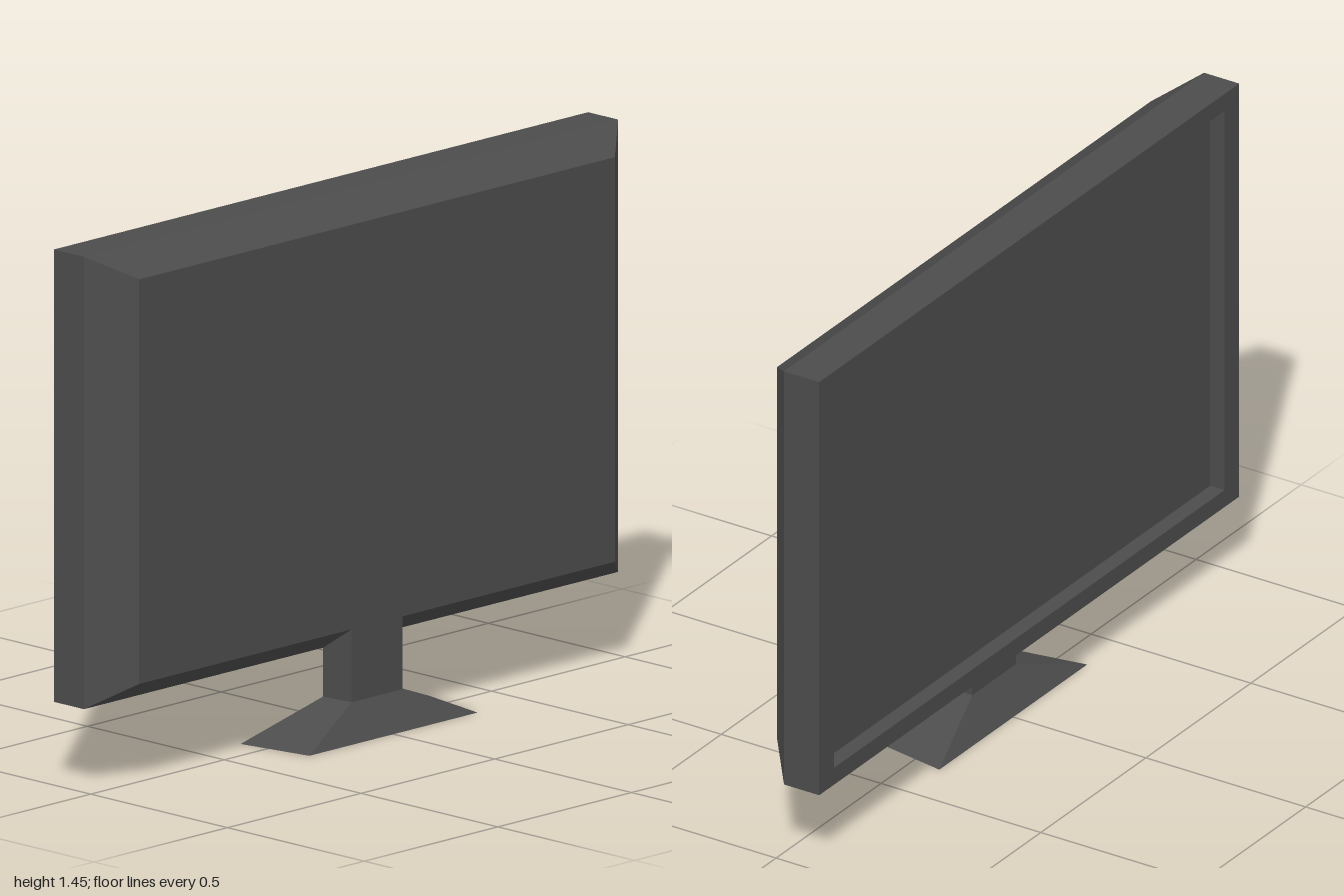
import * as THREE from 'three';

// Flat-faced skin through four-cornered rings, with optional end caps
function loft(rings, capStart = true, capEnd = true) {
  const pos = [];
  const quad = (a, b, c, d) => [a, b, c, a, c, d].forEach(p => pos.push(...p));
  for (let i = 0; i < rings.length - 1; i++) {
    const r = rings[i], s = rings[i + 1];
    for (let k = 0; k < 4; k++) {
      const n = (k + 1) % 4;
      quad(r[k], r[n], s[n], s[k]);
    }
  }
  if (capStart) quad(...[...rings[0]].reverse());
  if (capEnd) quad(...rings[rings.length - 1]);
  const g = new THREE.BufferGeometry();
  g.setAttribute('position', new THREE.Float32BufferAttribute(pos, 3));
  g.computeVertexNormals();
  return g;
}

// Upright rectangle at depth x
const upright = (x, y0, y1, w) => [[x, y0, -w], [x, y1, -w], [x, y1, w], [x, y0, w]];
// Level trapezoid at height y: half-widths wa at xa and wb at xb
const level = (y, xa, xb, wa, wb) => [[xa, y, -wa], [xa, y, wa], [xb, y, wb], [xb, y, -wb]];

export function createModel() {
  const group = new THREE.Group();
  const plastic = new THREE.MeshStandardMaterial({ color: 0x4c4c4c });
  plastic.name = 'darkGreyPlastic';

  const add = (name, geometry) => {
    const mesh = new THREE.Mesh(geometry, plastic);
    mesh.name = name;
    group.add(mesh);
  };

  // Housing: recess walls, bezel, sides, bevelled back
  add('housing', loft([
    upright(-0.09, 0.275, 1.397, 0.93),
    upright(-0.135, 0.275, 1.397, 0.93),
    upright(-0.135, 0.225, 1.447, 1),
    upright(-0.025, 0.225, 1.447, 1),
    upright(0.07, 0.29, 1.383, 0.89),
  ], false, true));

  // Recessed screen, facing -x
  const screen = new THREE.PlaneGeometry(1.86, 1.122);
  screen.rotateY(-Math.PI / 2);
  screen.translate(-0.09, 0.836, 0);
  add('screen', screen);

  // Stand neck, flush with the back
  add('neck', loft([
    level(0.093, -0.025, 0.07, 0.105, 0.095),
    level(0.29, -0.025, 0.07, 0.105, 0.095),
  ], false, true));

  // Flared foot
  add('foot', loft([
    level(0, -0.085, 0.13, 0.352, 0.315),
    level(0.093, -0.025, 0.07, 0.105, 0.095),
  ], true, false));

  return group;
}
